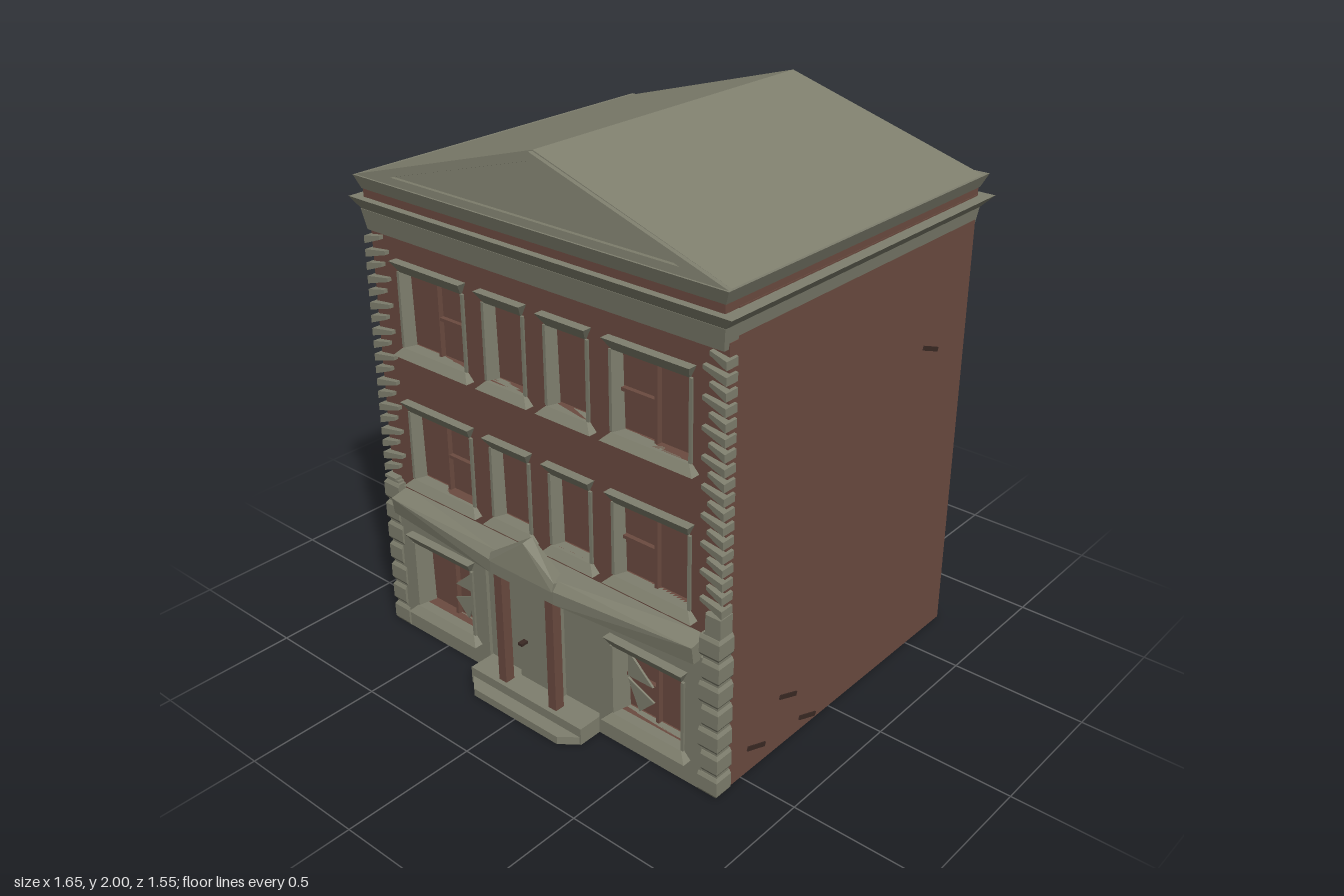
import * as THREE from 'three';
import { ConvexGeometry } from 'three/addons/geometries/ConvexGeometry.js';

const mat = (name, color) => {
  const m = new THREE.MeshStandardMaterial({ color });
  m.name = name;
  return m;
};

export function createModel() {
  const model = new THREE.Group();
  model.name = 'townhouse';
  const stone = mat('stone', 0x7f7f6e);
  const brick = mat('brick', 0x6b4b40);
  const dark = mat('darkBrick', 0x3a2924);

  const add = (name, geo, material, parent = model) => {
    const mesh = new THREE.Mesh(geo, material);
    mesh.name = name;
    parent.add(mesh);
    return mesh;
  };
  // Box from its lower and upper limits
  const box = (name, m, x0, x1, y0, y1, z0, z1, parent) => {
    const b = add(name, new THREE.BoxGeometry(x1 - x0, y1 - y0, z1 - z0), m, parent);
    b.position.set((x0 + x1) / 2, (y0 + y1) / 2, (z0 + z1) / 2);
    return b;
  };
  const hull = (name, m, pts, parent) =>
    add(name, new ConvexGeometry(pts.map((p) => new THREE.Vector3(...p))), m, parent);
  // Solid between two horizontal rectangles [y, halfWidth, back, front]
  const frustum = (name, m, a, b, cx = 0, parent = model) => {
    const pts = [];
    for (const [y, w, zb, zf] of [a, b])
      for (const x of [cx - w, cx + w]) pts.push([x, y, zb], [x, y, zf]);
    return hull(name, m, pts, parent);
  };
  const poly = (pts, Type = THREE.Shape) => new Type(pts.map((p) => new THREE.Vector2(...p)));
  const rect = (x0, x1, y0, y1) => [[x0, y0], [x1, y0], [x1, y1], [x0, y1]];
  // Wall panel with openings
  const panel = (name, m, outline, holes, z0, z1) => {
    const s = poly(outline);
    s.holes = holes.map((h) => poly(h, THREE.Path));
    const g = new THREE.ExtrudeGeometry(s, { depth: z1 - z0, bevelEnabled: false });
    const mesh = add(name, g, m);
    mesh.position.z = z0;
    return mesh;
  };

  // Window openings: x0, x1, y0, y1
  const upper = [];
  for (const [y0, y1] of [[0.655, 0.925], [1.175, 1.455]])
    for (const [a, b] of [[-0.64, -0.335], [-0.225, -0.055], [0.055, 0.225], [0.335, 0.64]])
      upper.push([a, b, y0, y1]);
  const lower = [[-0.64, -0.345, 0.125, 0.395], [0.345, 0.64, 0.125, 0.395]];

  // Main brick body and front wall
  box('body', brick, -0.78, 0.78, 0, 1.7, -0.73, 0.565);
  panel('frontWall', brick, rect(-0.78, 0.78, 0, 1.6),
    [...upper, ...lower].map((w) => rect(...w)), 0.565, 0.605);

  // Stone ground storey with a shallow entrance bay
  panel('groundFacade', stone, rect(-0.72, 0.72, 0, 0.52),
    [...lower.map((w) => rect(...w)), rect(-0.27, 0.27, 0.065, 0.505)], 0.605, 0.632);
  box('entranceBay', stone, -0.27, 0.27, 0.06, 0.51, 0.604, 0.618);
  box('door', stone, -0.1, 0.1, 0.065, 0.505, 0.61, 0.64);
  box('doorHandle', dark, -0.08, -0.06, 0.219, 0.229, 0.64, 0.67);

  // Window surrounds, sills, lintels and glazing bars
  const addWindow = ([x0, x1, y0, y1], z) => {
    const g = new THREE.Group();
    g.name = 'window';
    model.add(g);
    const cx = (x0 + x1) / 2, cy = (y0 + y1) / 2, w = (x1 - x0) / 2;
    frustum('lintel', stone, [y1, w, 0.58, z + 0.008], [y1 + 0.042, w + 0.02, z - 0.01, z + 0.035], cx, g);
    frustum('sill', stone, [y0 - 0.03, w + 0.035, z - 0.01, z + 0.035], [y0, w + 0.005, 0.57, z + 0.012], cx, g);
    for (const s of [-1, 1]) {
      const e = cx + s * w;
      hull('jamb', stone, [[e, y0, 0.566], [e, y1, 0.566], [e - s * 0.015, y0, 0.57], [e - s * 0.008, y1, 0.57],
        [e + s * 0.012, y0, z + 0.01], [e + s * 0.012, y1, z + 0.01], [e, y0, z + 0.01], [e, y1, z + 0.01]], g);
    }
    if (w > 0.1) {
      box('mullion', brick, cx - 0.006, cx + 0.006, y0, y1, 0.56, 0.585, g);
      const inner = cx - Math.sign(cx) * w;
      box('transom', brick, Math.min(cx, inner), Math.max(cx, inner), cy - 0.006, cy + 0.006, 0.56, 0.582, g);
    }
  };
  upper.forEach((w) => addWindow(w, 0.605));
  lower.forEach((w) => addWindow(w, 0.632));

  // Angled stone panes in the ground windows
  for (const s of [-1, 1])
    for (const tri of [[[0.48, 0.265], [0.37, 0.265], [0.37, 0.365]], [[0.485, 0.205], [0.37, 0.255], [0.42, 0.14]]])
      panel('pane', stone, tri.map(([x, y]) => [s * x, y]), [], 0.586, 0.594);

  // Porch: entablature, pediment, columns, steps
  const ent = [];
  for (const s of [-1, 1])
    ent.push([s * 0.71, 0.51, 0.6], [s * 0.71, 0.59, 0.6], [s * 0.71, 0.51, 0.665], [s * 0.71, 0.575, 0.675],
      [s * 0.15, 0.51, 0.715], [s * 0.15, 0.56, 0.715], [s * 0.15, 0.59, 0.69]);
  hull('entablature', stone, ent);
  hull('porchPediment', stone, [[-0.15, 0.56, 0.72], [0.15, 0.56, 0.72], [-0.15, 0.59, 0.71], [0.15, 0.59, 0.71],
    [-0.15, 0.57, 0.65], [0.15, 0.57, 0.65], [0, 0.68, 0.7], [0, 0.685, 0.655]]);
  for (const x of [-0.125, 0.12]) box('column', brick, x - 0.018, x + 0.018, 0.065, 0.51, 0.67, 0.708);
  box('upperStep', stone, -0.27, 0.27, 0, 0.065, 0.57, 0.725);
  const step = [];
  for (const s of [-1, 1]) for (const y of [0, 0.03])
    step.push([s * 0.27, y, 0.6], [s * 0.27, y, 0.72], [s * 0.205, y, 0.775]);
  hull('lowerStep', stone, step);

  // Corner stones: large blocks below, tilted wedges above
  for (const s of [-1, 1]) {
    box('quoinCore', stone, Math.min(s * 0.72, s * 0.783), Math.max(s * 0.72, s * 0.783), 0, 0.62, 0.57, 0.63);
    for (let i = 0; i < 7; i++) {
      const y = i * 0.089, t = i % 2 ? 0 : 0.012;
      const p = [];
      for (const [yy, d] of [[y, 0], [y + 0.012, 0.007], [y + 0.066, 0.007], [y + 0.078, 0]])
        for (const z of [0.565, 0.633 + d])
          p.push([s * (0.722 - t), yy, z], [s * (0.784 + d), yy, z]);
      hull('quoinBlock', stone, p);
    }
    box('quoinCap', stone, Math.min(s * 0.73, s * 0.79), Math.max(s * 0.73, s * 0.79), 0.62, s > 0 ? 0.69 : 0.63, 0.575, 0.635);
    for (let i = 0; i < 19; i++) {
      const y = 0.645 + i * 0.049, inner = i % 2 ? 0.695 : 0.72;
      const p = [];
      for (const z of [0.578, 0.632])
        p.push([s * 0.79, y, z], [s * 0.79, y + 0.028, z], [s * inner, y + 0.026, z - 0.01], [s * inner, y + 0.04, z - 0.01]);
      hull('quoinWedge', stone, p);
    }
  }

  // Cornice
  frustum('frieze', stone, [1.58, 0.775, -0.733, 0.625], [1.655, 0.787, -0.74, 0.637]);
  frustum('cornice', stone, [1.655, 0.787, -0.74, 0.635], [1.695, 0.823, -0.775, 0.655]);
  frustum('brickBand', brick, [1.695, 0.778, -0.735, 0.627], [1.725, 0.778, -0.735, 0.627]);
  frustum('eaves', stone, [1.725, 0.782, -0.738, 0.63], [1.772, 0.803, -0.757, 0.645]);

  // Gabled roof with recessed front pediment
  hull('roof', stone, [[-0.8, 1.77, 0.62], [0.8, 1.77, 0.62], [-0.8, 1.77, -0.728], [0.8, 1.77, -0.728],
    [0, 2, 0.585], [0, 2, -0.728]]);
  const frame = panel('pedimentFrame', stone, [[-0.8, 0], [0.8, 0], [0, 0.229]],
    [[[-0.62, 0.024], [0.62, 0.024], [0, 0.2]]], 0.62, 0.64);
  frame.position.y = 1.77;
  frame.rotation.x = -0.15;

  // Dark slots on the left side wall
  for (const [z, y] of [[0.42, 0.08], [0.25, 0.19], [0.13, 0.035], [-0.5, 1.21]]) {
    const slot = add('wallSlot', new THREE.BoxGeometry(0.008, 0.016, 0.1), dark);
    slot.position.set(0.781, y, z);
    slot.rotation.x = -0.36;
  }
  return model;
}
